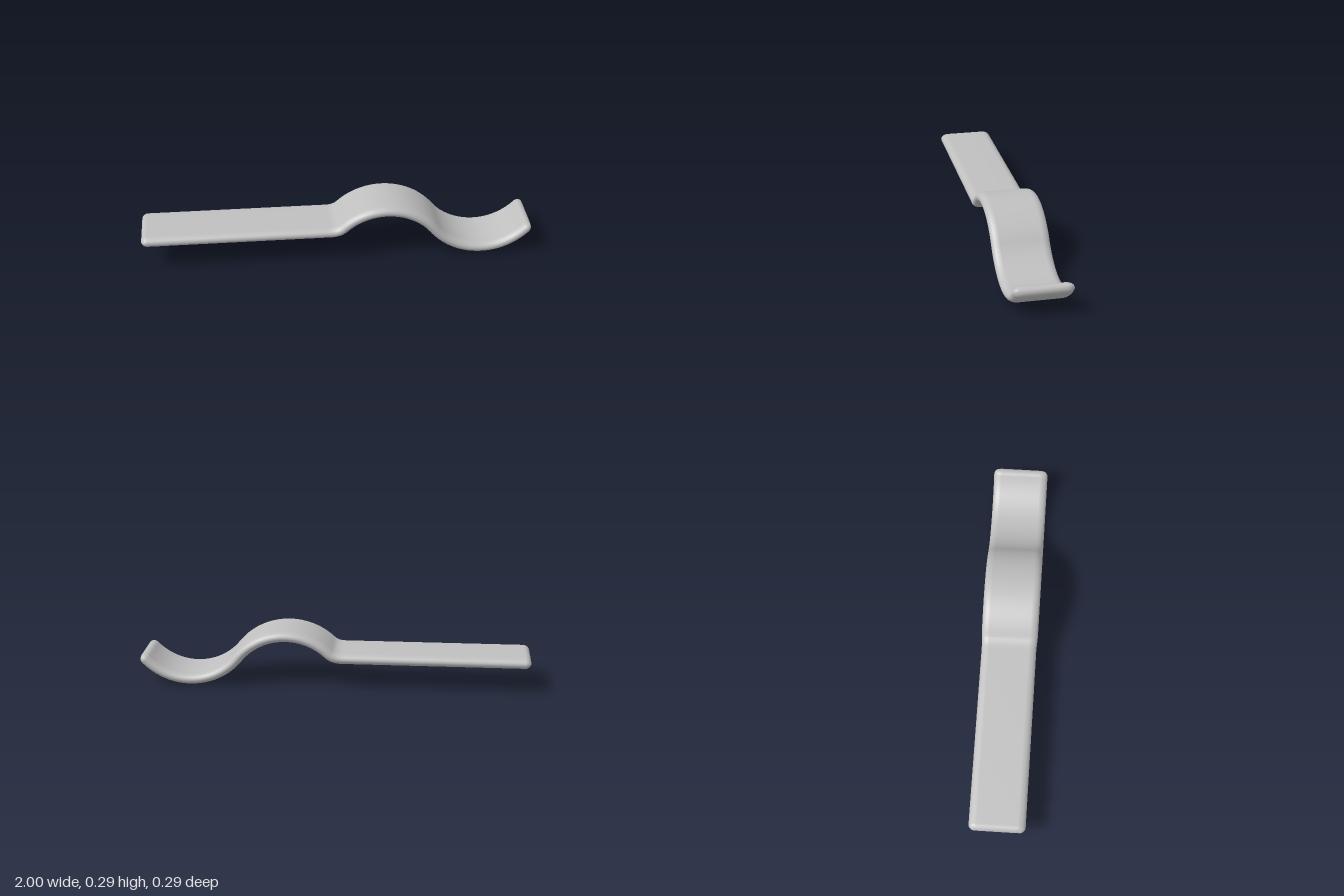
import * as THREE from 'three';

const HALF_THICK = 0.027, EDGE = 0.04, TIP = 0.03;

// Centreline in the xy plane: flat shank, crest, trough
function centreline() {
  const R = 0.316, rise = 0.1965, mid = 0.1465;
  const cross = Math.asin(rise / R);
  const start = Math.PI - Math.acos(0.215 / R);
  const crestY = mid - rise;
  const path = new THREE.Path();
  path.moveTo(-1, 0.155);
  path.lineTo(-0.045, 0.155);
  path.quadraticCurveTo(0.005, 0.155, 0.245 + R * Math.cos(start), crestY + R * Math.sin(start));
  path.absarc(0.245, crestY, R, start, cross, true);
  path.absarc(0.74, mid + rise, R, Math.PI + cross, Math.PI * 2 - cross + 0.01, false);
  return path;
}

// Stations along the path; "full" swells from 0 to 1 to round each tip
function stations(length) {
  const list = [], capSteps = 8, bodySteps = 110;
  for (let i = 0; i < capSteps; i++) {
    const a = (i / capSteps) * Math.PI / 2;
    list.push({ s: TIP * (1 - Math.cos(a)), full: Math.sin(a) });
  }
  const tail = list.map(({ s, full }) => ({ s: length - s, full })).reverse();
  for (let i = 0; i <= bodySteps; i++) {
    list.push({ s: TIP + (length - 2 * TIP) * i / bodySteps, full: 1 });
  }
  return list.concat(tail);
}

// Sweep a round-edged flat section along the centreline
function stripGeometry() {
  const path = centreline(), length = path.getLength();
  const rows = stations(length), half = 10, ring = 2 * (half + 1);
  const positions = [], indices = [];
  rows.forEach(({ s, full }, i) => {
    const u = THREE.MathUtils.clamp(s / length, 0, 1);
    const p = path.getPoint(u), t = path.getTangent(u);
    const wave = THREE.MathUtils.smoothstep(p.x, -0.05, 0.03);
    const halfWidth = 0.141 + 0.004 * wave - TIP * (1 - full);
    for (let j = 0; j < ring; j++) {
      const side = j <= half ? 1 : -1;
      const a = side > 0 ? -Math.PI / 2 + Math.PI * j / half
        : Math.PI / 2 + Math.PI * (j - half - 1) / half;
      const n = HALF_THICK * full * Math.sin(a);
      const z = side * (halfWidth - EDGE) + EDGE * Math.cos(a);
      positions.push(p.x - t.y * n, p.y + t.x * n, z);
      if (i < rows.length - 1) {
        const k = (j + 1) % ring, b = i * ring, c = b + ring;
        indices.push(b + j, c + j, b + k, c + j, c + k, b + k);
      }
    }
  });
  const geometry = new THREE.BufferGeometry();
  geometry.setAttribute('position', new THREE.Float32BufferAttribute(positions, 3));
  geometry.setIndex(indices);
  geometry.computeVertexNormals();
  return geometry;
}

export function createModel() {
  const model = new THREE.Group();
  model.name = 'wavyStrip';
  const grey = new THREE.MeshStandardMaterial({ color: 0xbfbfbf });
  grey.name = 'light grey';
  const strip = new THREE.Mesh(stripGeometry(), grey);
  strip.name = 'bentStrip';
  model.add(strip);
  return model;
}
